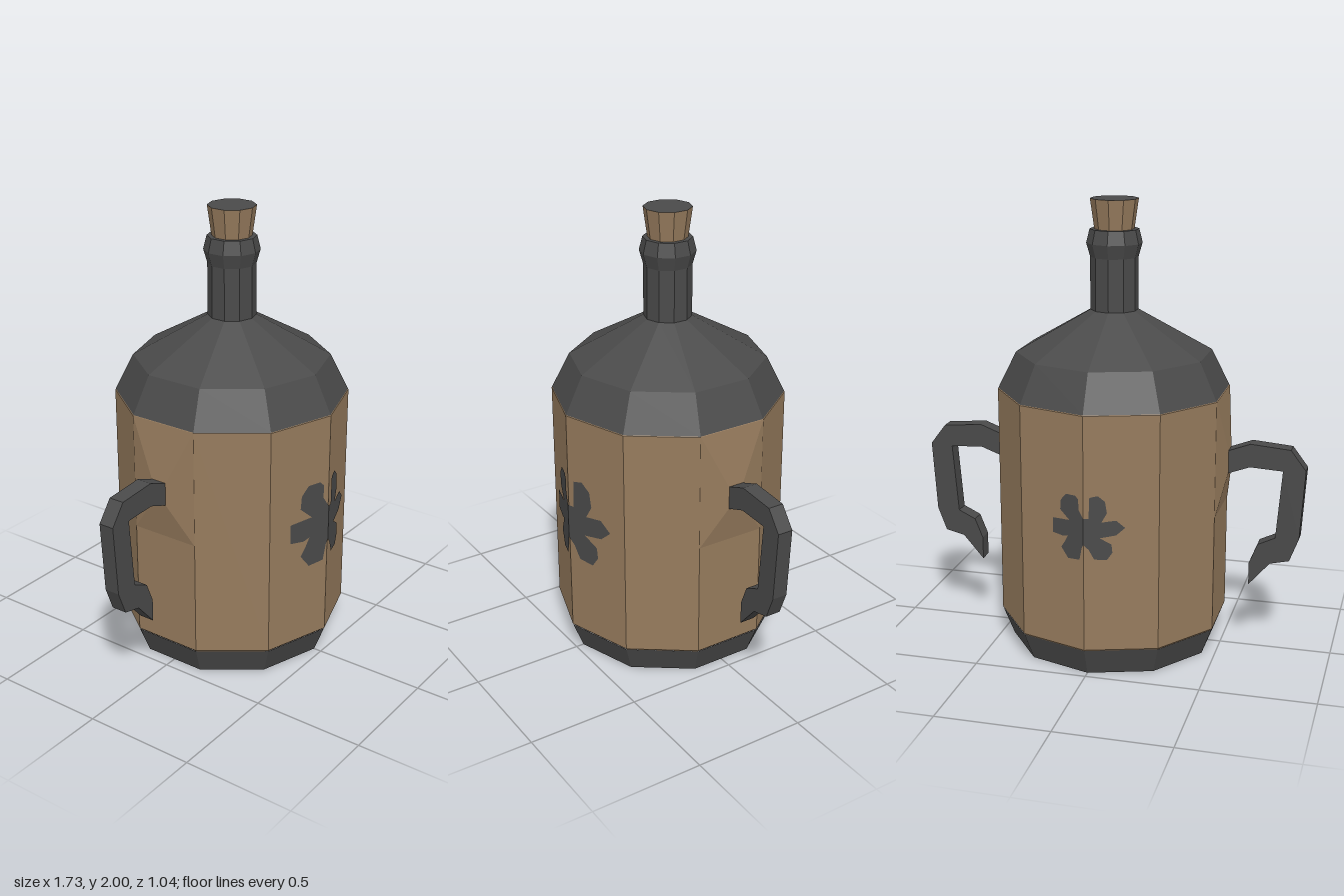
import * as THREE from 'three';

const SIDES = 10, R = 0.515;

function flat(geo) {
  const g = geo.index ? geo.toNonIndexed() : geo;
  g.computeVertexNormals();
  return g;
}

const vecs = (list) => list.map(([x, y]) => new THREE.Vector2(x, y));

// Ten-sided ring from [radius, y] pairs, bottom to top, with a corner at the front
const turned = (profile) => flat(new THREE.LatheGeometry(vecs(profile), SIDES));

// Raised mount on the +x side: wide base rectangle sloping up to a small one
function mountGeometry() {
  const rect = (x, y0, y1, w) => [[x, y0, w], [x, y0, -w], [x, y1, -w], [x, y1, w]];
  const base = rect(R * Math.cos(Math.PI / 10) + 0.001, 0.65, 1.172, 0.159);
  const tip = rect(0.525, 0.82, 0.92, 0.035);
  const pos = [];
  for (let i = 0; i < 4; i++) {
    const j = (i + 1) % 4;
    pos.push(...base[i], ...base[j], ...tip[j], ...base[i], ...tip[j], ...tip[i]);
  }
  pos.push(...tip[0], ...tip[1], ...tip[2], ...tip[0], ...tip[2], ...tip[3]);
  const g = new THREE.BufferGeometry();
  g.setAttribute('position', new THREE.Float32BufferAttribute(pos, 3));
  return flat(g);
}

// Half of a painted blossom, laid on the faces beside the front corner
function paintedHalf(points) {
  const g = new THREE.ShapeGeometry(new THREE.Shape(vecs(points)));
  const p = g.attributes.position;
  for (let i = 0; i < p.count; i++) {
    p.setZ(i, R + 0.004 - Math.abs(p.getX(i)) * Math.tan(Math.PI / 10));
  }
  return flat(g);
}

export function createModel() {
  const dark = new THREE.MeshStandardMaterial({ color: 0x4a4a4a });
  dark.name = 'charcoal';
  const tan = new THREE.MeshStandardMaterial({ color: 0x967b5d });
  tan.name = 'tan';

  const model = new THREE.Group();
  model.name = 'jug';
  const add = (name, geo, mat, parent = model) => {
    const m = new THREE.Mesh(geo, mat);
    m.name = name;
    parent.add(m);
    return m;
  };

  // Body
  add('base', turned([[0, 0], [0.464, 0], [0.513, 0.125]]), dark);
  add('band', turned([[0.505, 0.12], [R, 0.13], [R, 1.17], [0.506, 1.18]]), tan);
  add('shoulder', turned([[0.513, 1.173], [0.432, 1.335], [0.105, 1.52]]), dark);
  add('neck', turned([[0.105, 1.52], [0.105, 1.75], [0.122, 1.81], [0.107, 1.87], [0, 1.87]]), dark);

  // Stopper
  add('cork', turned([[0.086, 1.865], [0.105, 2]]), tan);
  add('corkTop', turned([[0.105, 2], [0, 2]]), dark);

  // Handles with their mounts, one per side
  const outline = [
    [0.52, 0.922], [0.62, 0.96], [0.797, 0.945], [0.865, 0.855], [0.845, 0.54],
    [0.805, 0.435], [0.72, 0.415], [0.627, 0.307], [0.627, 0.41], [0.663, 0.5],
    [0.74, 0.537], [0.765, 0.847], [0.62, 0.855], [0.52, 0.818],
  ];
  const handleGeo = new THREE.ExtrudeGeometry(new THREE.Shape(vecs(outline)), { depth: 0.07, bevelEnabled: false });
  handleGeo.translate(0, 0, -0.035);
  const mountGeo = mountGeometry();
  for (const [side, turn] of [['left', 0], ['right', Math.PI]]) {
    const g = new THREE.Group();
    g.name = side + 'Handle';
    g.rotation.y = turn;
    add(side + 'Grip', flat(handleGeo), dark, g);
    add(side + 'Mount', mountGeo, tan, g);
    model.add(g);
  }

  // Painted blossoms: large on the front, smaller on the back
  const leftHalf = [
    [0, 0.74], [-0.03, 0.79], [-0.03, 0.85], [-0.05, 0.87], [-0.11, 0.87], [-0.145, 0.83],
    [-0.15, 0.77], [-0.09, 0.715], [-0.2, 0.71], [-0.2, 0.62], [-0.13, 0.61], [-0.1, 0.62],
    [-0.12, 0.58], [-0.145, 0.54], [-0.1, 0.48], [-0.025, 0.485], [-0.01, 0.56], [0, 0.58],
  ];
  const rightHalf = [
    [0, 0.58], [0.03, 0.55], [0.06, 0.49], [0.13, 0.485], [0.16, 0.53], [0.155, 0.58],
    [0.09, 0.62], [0.18, 0.635], [0.23, 0.68], [0.18, 0.725], [0.1, 0.715], [0.13, 0.77],
    [0.12, 0.84], [0.08, 0.875], [0.035, 0.865], [0.03, 0.74], [0, 0.74],
  ];
  const resize = (pts, s) => pts.map(([x, y]) => [x * s, 0.685 + (y - 0.68) * s]);
  for (const [name, scale, turn] of [['front', 1, 0], ['back', 0.73, Math.PI]]) {
    const g = new THREE.Group();
    g.name = name + 'Blossom';
    g.rotation.y = turn;
    add(name + 'BlossomLeft', paintedHalf(resize(leftHalf, scale)), dark, g);
    add(name + 'BlossomRight', paintedHalf(resize(rightHalf, scale)), dark, g);
    model.add(g);
  }
  return model;
}
